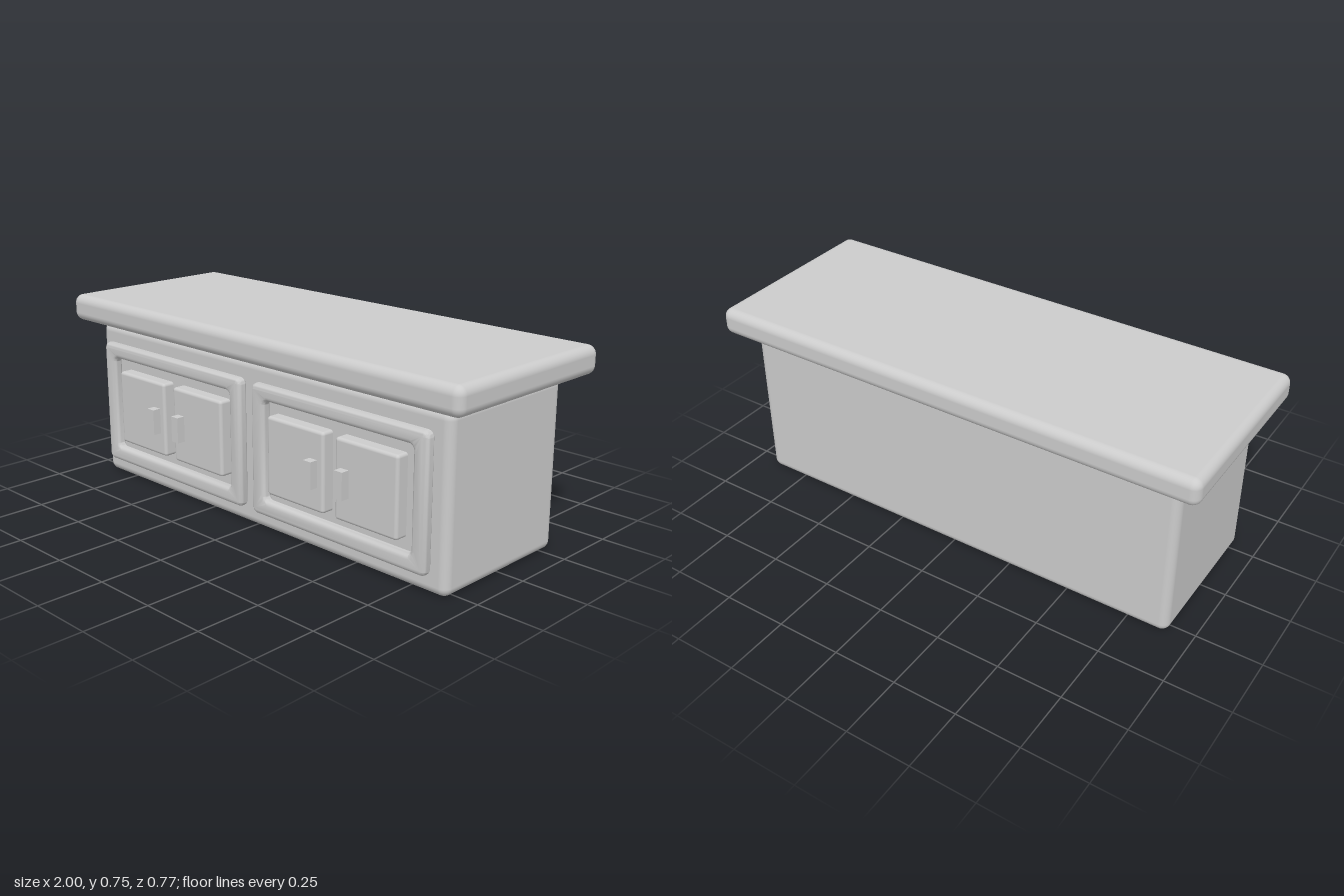
import * as THREE from 'three';
import { RoundedBoxGeometry } from 'three/addons/geometries/RoundedBoxGeometry.js';
import { toCreasedNormals } from 'three/addons/utils/BufferGeometryUtils.js';

const material = new THREE.MeshStandardMaterial({ color: 0xcccccc });

// Mesh from min and max corners; a radius of 0 gives a plain box
function block(name, [x0, y0, z0], [x1, y1, z1], radius) {
  const size = [x1 - x0, y1 - y0, z1 - z0];
  const geometry = radius
    ? new RoundedBoxGeometry(...size, 5, radius)
    : new THREE.BoxGeometry(...size);
  const mesh = new THREE.Mesh(geometry, material);
  mesh.name = name;
  mesh.position.set((x0 + x1) / 2, (y0 + y1) / 2, (z0 + z1) / 2);
  return mesh;
}

// Rounded rectangle traced onto a Shape or Path
function roundedRect(path, x0, y0, x1, y1, r) {
  path.moveTo(x0 + r, y0);
  path.lineTo(x1 - r, y0);
  path.absarc(x1 - r, y0 + r, r, -Math.PI / 2, 0);
  path.lineTo(x1, y1 - r);
  path.absarc(x1 - r, y1 - r, r, 0, Math.PI / 2);
  path.lineTo(x0 + r, y1);
  path.absarc(x0 + r, y1 - r, r, Math.PI / 2, Math.PI);
  path.lineTo(x0, y0 + r);
  path.absarc(x0 + r, y0 + r, r, Math.PI, Math.PI * 1.5);
  return path;
}

// Raised surround with fully rounded edges
function doorFrame(x0, x1) {
  const shape = roundedRect(new THREE.Shape(), x0, 0.073, x1, 0.572, 0.025);
  shape.holes.push(roundedRect(new THREE.Path(), x0 + 0.069, 0.137, x1 - 0.065, 0.513, 0.018));
  const geometry = new THREE.ExtrudeGeometry(shape, {
    depth: 0.004, bevelThickness: 0.019, bevelSize: 0.019, bevelOffset: -0.019,
    bevelSegments: 5, curveSegments: 5,
  });
  const mesh = new THREE.Mesh(toCreasedNormals(geometry, 0.7), material);
  mesh.name = 'doorFrame';
  mesh.position.z = 0.322;
  return mesh;
}

export function createModel() {
  const model = new THREE.Group();
  model.name = 'counter';

  // Cabinet body and overhanging worktop
  model.add(block('cabinetBody', [-0.91, 0, -0.304], [0.91, 0.638, 0.303], 0.033));
  model.add(block('worktop', [-1, 0.646, -0.385], [1, 0.752, 0.382], 0.034));

  // Two framed cupboards, each with a pair of doors and handles
  for (const side of [-1, 1]) {
    const cupboard = new THREE.Group();
    cupboard.name = side > 0 ? 'leftCupboard' : 'rightCupboard';
    cupboard.add(side > 0 ? doorFrame(0.03, 0.853) : doorFrame(-0.848, -0.025));
    const centre = side * 0.431;
    for (const s of [-1, 1]) {
      const span = (a, b) => [centre + s * a, centre + s * b].sort((p, q) => p - q);
      const [d0, d1] = span(0.027, 0.307);
      cupboard.add(block('door', [d0, 0.171, 0.29], [d1, 0.468, 0.352], 0.012));
      const [h0, h1] = span(0.055, 0.092);
      cupboard.add(block('handle', [h0, 0.263, 0.345], [h1, 0.364, 0.385], 0));
    }
    model.add(cupboard);
  }
  return model;
}
